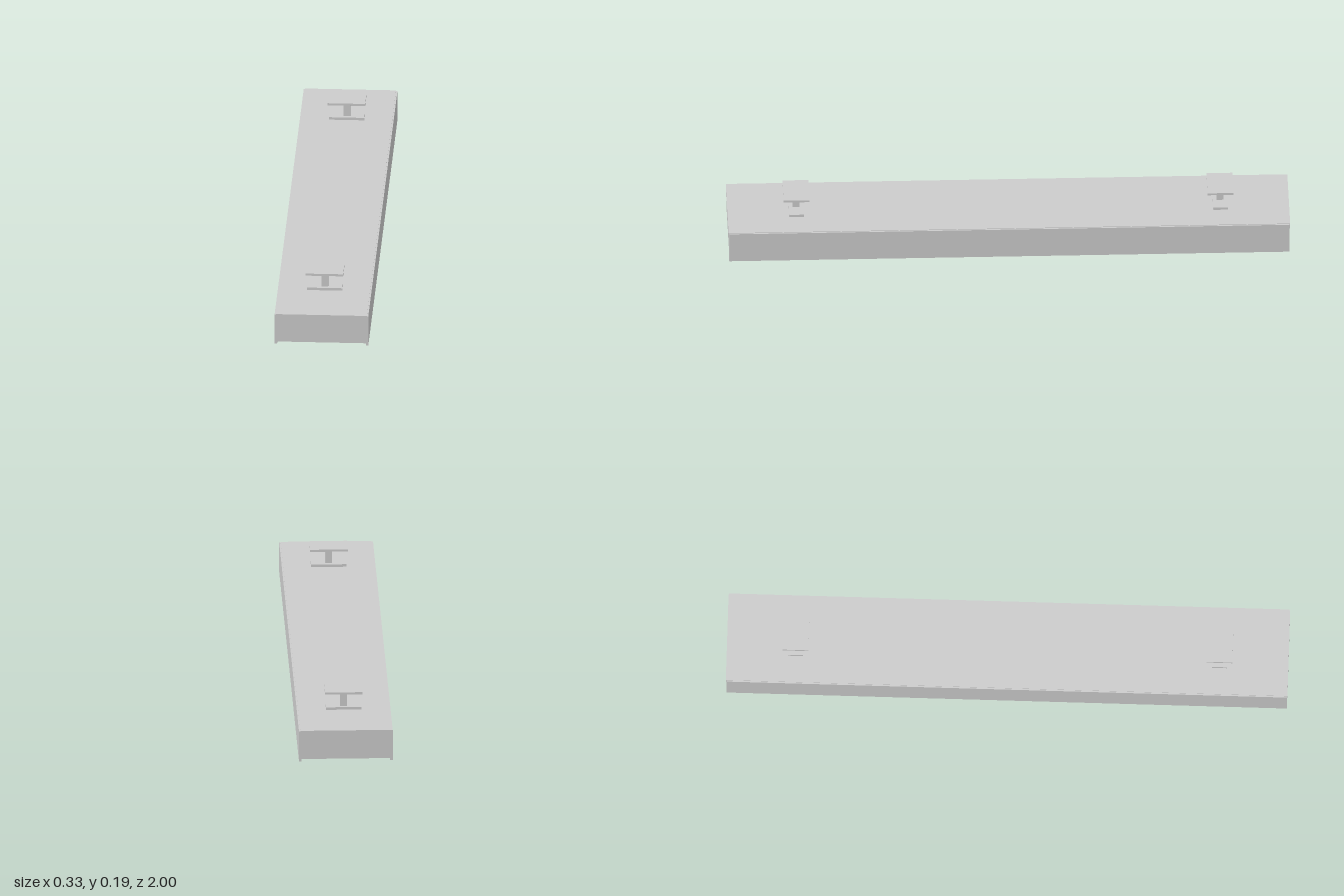
import * as THREE from 'three';

const grey = new THREE.MeshStandardMaterial({ color: 0xcccccc });
grey.name = 'paintedMetalGrey';

function add(parent, name, geometry, x = 0, y = 0, z = 0) {
  const mesh = new THREE.Mesh(geometry, grey);
  mesh.name = name;
  mesh.position.set(x, y, z);
  parent.add(mesh);
  return mesh;
}

// Box given by its limits on each axis
function box(parent, name, x0, x1, y0, y1, z0, z1) {
  return add(parent, name, new THREE.BoxGeometry(x1 - x0, y1 - y0, z1 - z0),
    (x0 + x1) / 2, (y0 + y1) / 2, (z0 + z1) / 2);
}

// Cross-section in x,y extruded along z, centred on z = 0
function prism(parent, name, points, length) {
  const shape = new THREE.Shape(points.map(([x, y]) => new THREE.Vector2(x, y)));
  const geometry = new THREE.ExtrudeGeometry(shape, { depth: length, bevelEnabled: false });
  geometry.translate(0, 0, -length / 2);
  return add(parent, name, geometry);
}

export function createModel() {
  const model = new THREE.Group();
  model.name = 'ceilingLamp';

  // Housing: roof, folded end flanges and long side walls, open below
  const housing = new THREE.Group();
  housing.name = 'housing';
  model.add(housing);
  box(housing, 'roof', -0.162, 0.162, 0.109, 0.1155, -1, 1);
  for (const s of [-1, 1]) {
    const wall = box(housing, 'sideWall', 0.158, 0.167, 0, 0.1135, -0.998, 0.998);
    wall.position.x *= s;
    const flange = box(housing, 'endFlange', -0.162, 0.162, 0.0955, 0.1155, 0.994, 1);
    flange.position.z *= s;
    const cap = box(housing, 'endCap', -0.16, 0.16, 0.008, 0.11, 0.989, 0.997);
    cap.position.z *= s;
  }

  // Folded sheet reflector, high in the middle and sloping down to both sides
  prism(model, 'reflector', [
    [-0.14, 0.016], [-0.03, 0.076], [0.03, 0.076], [0.14, 0.016],
    [0.14, 0.02], [0.03, 0.08], [-0.03, 0.08], [-0.14, 0.02],
  ], 1.82);

  // Two tubes with a holder at each end
  for (const x of [-0.08, 0.08]) {
    const tube = new THREE.CylinderGeometry(0.019, 0.019, 1.86, 24);
    tube.rotateX(Math.PI / 2);
    add(model, 'lampTube', tube, x, 0.0225, 0);
    for (const s of [-1, 1]) {
      const holder = new THREE.Group();
      holder.name = 'lampHolder';
      holder.position.set(x, 0, s * 0.945);
      model.add(holder);
      prism(holder, 'socket', [
        [-0.027, 0.006], [0.027, 0.006], [0.027, 0.026],
        [0.016, 0.046], [-0.016, 0.046], [-0.027, 0.026],
      ], 0.04);
      box(holder, 'holderStem', -0.016, 0.016, 0.044, 0.11, -0.014, 0.014);
    }
  }

  // Two hanging brackets on the roof
  for (const z of [-0.755, 0.755]) {
    const bracket = new THREE.Group();
    bracket.name = 'mountingBracket';
    bracket.position.z = z;
    model.add(bracket);
    box(bracket, 'foot', -0.063, 0.063, 0.1155, 0.125, -0.026, 0.026);
    box(bracket, 'post', -0.012, 0.012, 0.125, 0.18, -0.012, 0.012);
    box(bracket, 'topPlate', -0.067, 0.067, 0.18, 0.188, -0.046, 0.046);
  }
  return model;
}
